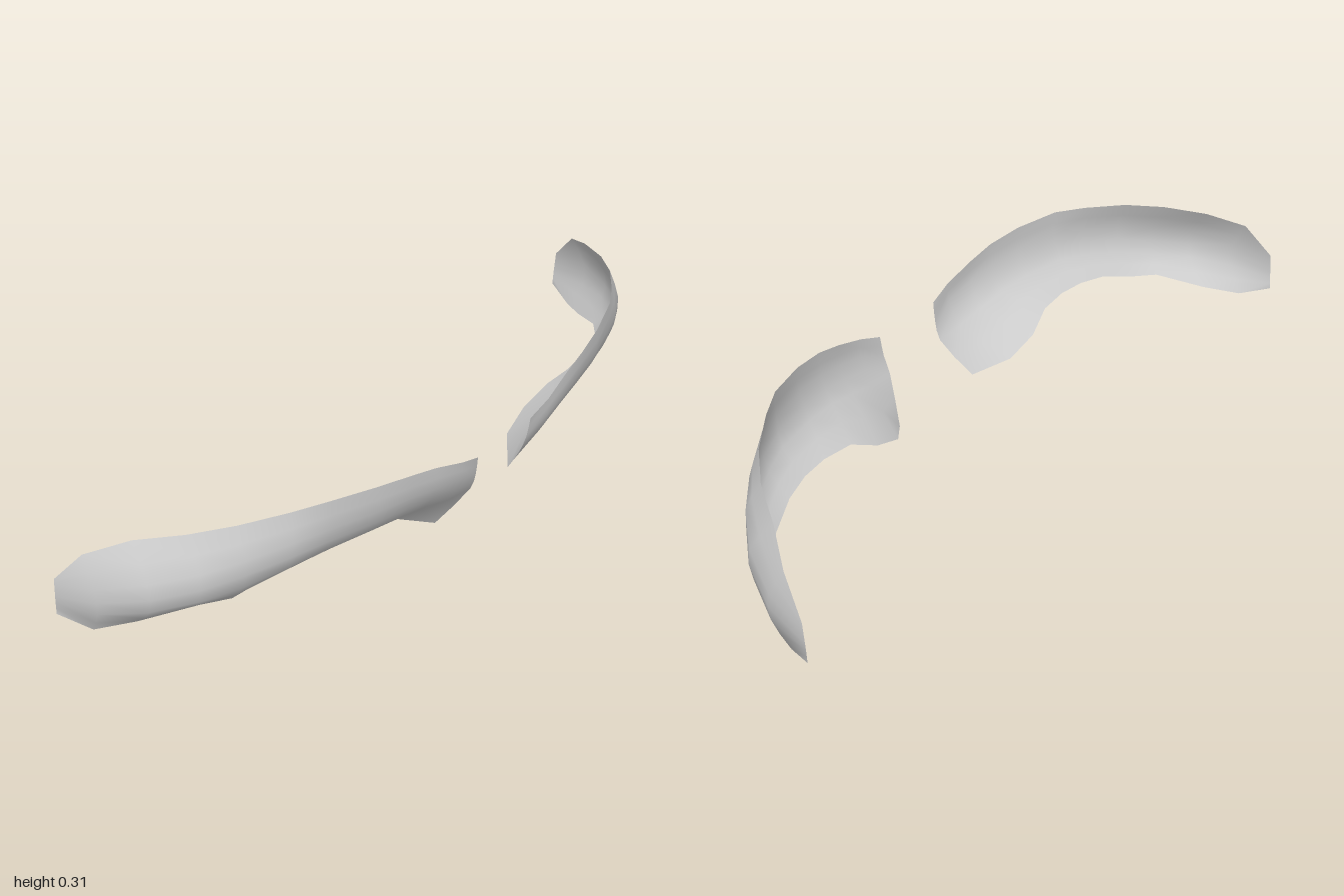
import * as THREE from 'three';

// Four lengthwise rails of the left brow, inner end to outer tip: [x, y, z]
const topRail = [
  [0.11, 0.215, 0.265], [0.18, 0.24, 0.27], [0.27, 0.27, 0.262], [0.35, 0.29, 0.255],
  [0.45, 0.305, 0.235], [0.57, 0.315, 0.195], [0.65, 0.31, 0.15], [0.75, 0.3, 0.08],
  [0.83, 0.285, 0], [0.9, 0.265, -0.1], [0.97, 0.225, -0.19], [1, 0.14, -0.262],
];
const upperRail = [
  [0.107, 0.16, 0.257], [0.18, 0.19, 0.268], [0.27, 0.21, 0.262], [0.35, 0.225, 0.252],
  [0.45, 0.235, 0.235], [0.57, 0.24, 0.198], [0.66, 0.235, 0.162], [0.76, 0.22, 0.107],
  [0.84, 0.2, 0.045], [0.92, 0.18, -0.04], [0.98, 0.15, -0.15], [1, 0.105, -0.265],
];
const lowerRail = [
  [0.105, 0.11, 0.24], [0.19, 0.12, 0.235], [0.27, 0.14, 0.225], [0.35, 0.155, 0.22],
  [0.45, 0.165, 0.205], [0.58, 0.17, 0.175], [0.66, 0.16, 0.145], [0.76, 0.14, 0.095],
  [0.84, 0.12, 0.035], [0.92, 0.1, -0.045], [0.98, 0.08, -0.15], [1, 0.07, -0.268],
];
const bottomRail = [
  [0.155, 0.002, 0.17], [0.24, 0.035, 0.105], [0.33, 0.07, 0.095], [0.41, 0.11, 0.112],
  [0.5, 0.115, 0.118], [0.58, 0.115, 0.108], [0.66, 0.108, 0.085], [0.75, 0.08, 0.047],
  [0.81, 0.075, 0], [0.9, 0.03, -0.11], [0.965, 0.007, -0.19], [1, 0.035, -0.27],
];
const ACROSS = 6; // strips across the brow

// Open curved sheet through the rails; side is 1 for left, -1 for right
function browGeometry(side) {
  const positions = [];
  const indices = [];
  topRail.forEach((_, i) => {
    const section = new THREE.CatmullRomCurve3(
      [topRail, upperRail, lowerRail, bottomRail].map((rail) => new THREE.Vector3(...rail[i])));
    for (const p of section.getPoints(ACROSS)) positions.push(side * p.x, p.y, p.z);
  });
  const row = ACROSS + 1;
  for (let i = 0; i < topRail.length - 1; i++) {
    for (let j = 0; j < ACROSS; j++) {
      const a = i * row + j, b = a + 1, c = a + row, d = c + 1;
      if (side > 0) indices.push(a, b, c, b, d, c);
      else indices.push(a, c, b, b, c, d);
    }
  }
  const geometry = new THREE.BufferGeometry();
  geometry.setAttribute('position', new THREE.Float32BufferAttribute(positions, 3));
  geometry.setIndex(indices);
  geometry.computeVertexNormals();
  return geometry;
}

export function createModel() {
  const model = new THREE.Group();
  model.name = 'eyebrows';
  const grey = new THREE.MeshStandardMaterial({ color: 0xcccccc, side: THREE.DoubleSide });
  grey.name = 'light grey';

  for (const [name, side] of [['leftEyebrow', 1], ['rightEyebrow', -1]]) {
    const brow = new THREE.Mesh(browGeometry(side), grey);
    brow.name = name;
    model.add(brow);
  }
  return model;
}
